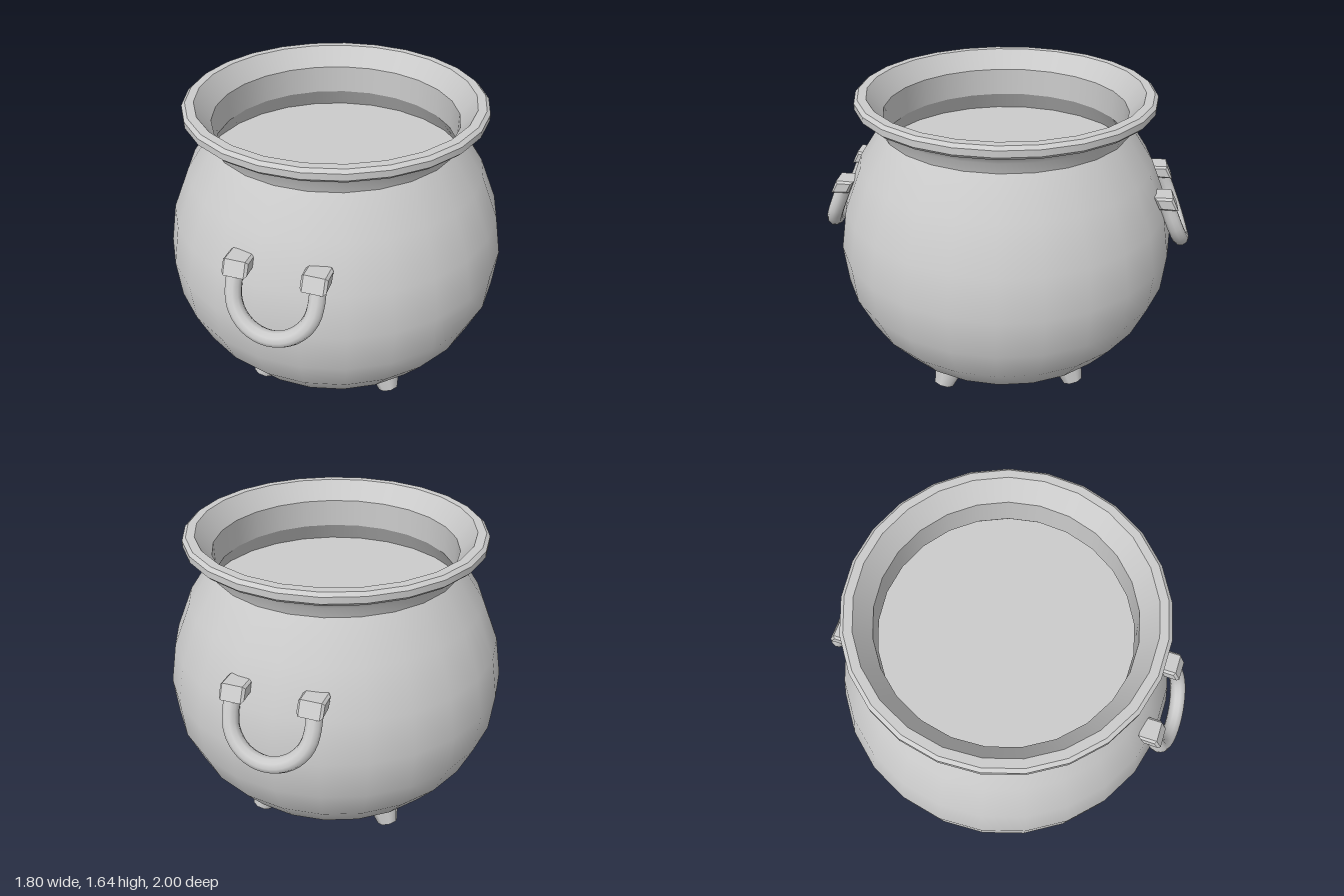
import * as THREE from 'three';

const grey = new THREE.MeshStandardMaterial({ color: 0xcccccc });
const facetedGrey = new THREE.MeshStandardMaterial({ color: 0xcccccc, flatShading: true });
const SIDES = 25;

function part(name, geometry, material = grey) {
  const mesh = new THREE.Mesh(geometry, material);
  mesh.name = name;
  return mesh;
}

// A turned surface from [radius, height] points, smooth within itself
function turned(name, profile) {
  const points = profile.map(([r, y]) => new THREE.Vector2(r, y));
  return part(name, new THREE.LatheGeometry(points, SIDES, Math.PI));
}

// Hanging handle with its two mounting blocks, on the +z side
function createHandle() {
  const handle = new THREE.Group();
  const half = 0.2, slope = 0.44, lean = Math.hypot(1, slope);
  const at = (x, down) => new THREE.Vector3(x, 1.138 - down / lean, 0.835 + (down * slope) / lean);

  const path = [at(-half, 0), at(-half, 0.05)];
  for (let i = 0; i <= 10; i++) {
    const a = (Math.PI * i) / 10;
    path.push(at(-half * Math.cos(a), 0.106 + half * Math.sin(a)));
  }
  path.push(at(half, 0.05), at(half, 0));
  const curve = new THREE.CatmullRomCurve3(path);
  handle.add(part('handleRing', new THREE.TubeGeometry(curve, 28, 0.04, 10)));

  // Slanted block: side outline (z, y) extruded along x
  const outline = [[0.785, 1.173], [0.855, 1.173], [0.882, 1.124], [0.81, 1.128]];
  const shape = new THREE.Shape(outline.map(([z, y]) => new THREE.Vector2(-z, y)));
  const block = new THREE.ExtrudeGeometry(shape, {
    depth: 0.1, bevelEnabled: true, bevelThickness: 0.012, bevelSize: 0.012, bevelSegments: 1,
  });
  block.translate(0, 0, -0.05).rotateY(Math.PI / 2);
  for (const side of [-1, 1]) {
    const mount = part('handleMount', block, facetedGrey);
    mount.position.x = side * 0.188;
    handle.add(mount);
  }
  return handle;
}

export function createModel() {
  const cauldron = new THREE.Group();
  cauldron.name = 'cauldron';

  // Round belly
  cauldron.add(turned('belly', [
    [0, 0.105], [0.2, 0.105], [0.35, 0.112], [0.52, 0.18], [0.695, 0.29], [0.81, 0.445],
    [0.885, 0.63], [0.9, 0.84], [0.86, 1.055], [0.765, 1.28], [0.64, 1.464],
  ]));

  // Flared neck
  cauldron.add(turned('neck', [[0.64, 1.464], [0.657, 1.52], [0.678, 1.553], [0.705, 1.578]]));

  // Chamfered rim, one crisp band per pair of points
  const rim = [
    [0.695, 1.578], [0.744, 1.578], [0.76, 1.594], [0.76, 1.626], [0.742, 1.641], [0.7, 1.641],
  ];
  for (let i = 0; i < rim.length - 1; i++) cauldron.add(turned('rim', [rim[i], rim[i + 1]]));

  // Inside of the mouth and the surface of the contents
  cauldron.add(turned('innerFlare', [[0.7, 1.641], [0.625, 1.54]]));
  cauldron.add(turned('innerNeck', [[0.625, 1.54], [0.625, 1.39]]));
  cauldron.add(turned('innerShoulder', [[0.625, 1.39], [0.69, 1.285]]));
  cauldron.add(turned('contents', [[0.69, 1.285], [0, 1.285]]));

  // Front and back handles
  for (const [name, turn] of [['frontHandle', 0], ['backHandle', Math.PI]]) {
    const handle = createHandle();
    handle.name = name;
    handle.rotation.y = turn;
    cauldron.add(handle);
  }

  // Four splayed feet, tapering down and outward
  const foot = new THREE.CylinderGeometry(0.105, 0.057, 0.18, 8, 1, false, Math.PI / 8);
  foot.translate(0, 0.09, 0).rotateX(THREE.MathUtils.degToRad(-25)).translate(0, 0.022, 0.522);
  for (let i = 0; i < 4; i++) {
    const leg = part('foot', foot);
    leg.rotation.y = Math.atan2(0.41, 0.3) + (i * Math.PI) / 2;
    cauldron.add(leg);
  }
  return cauldron;
}
